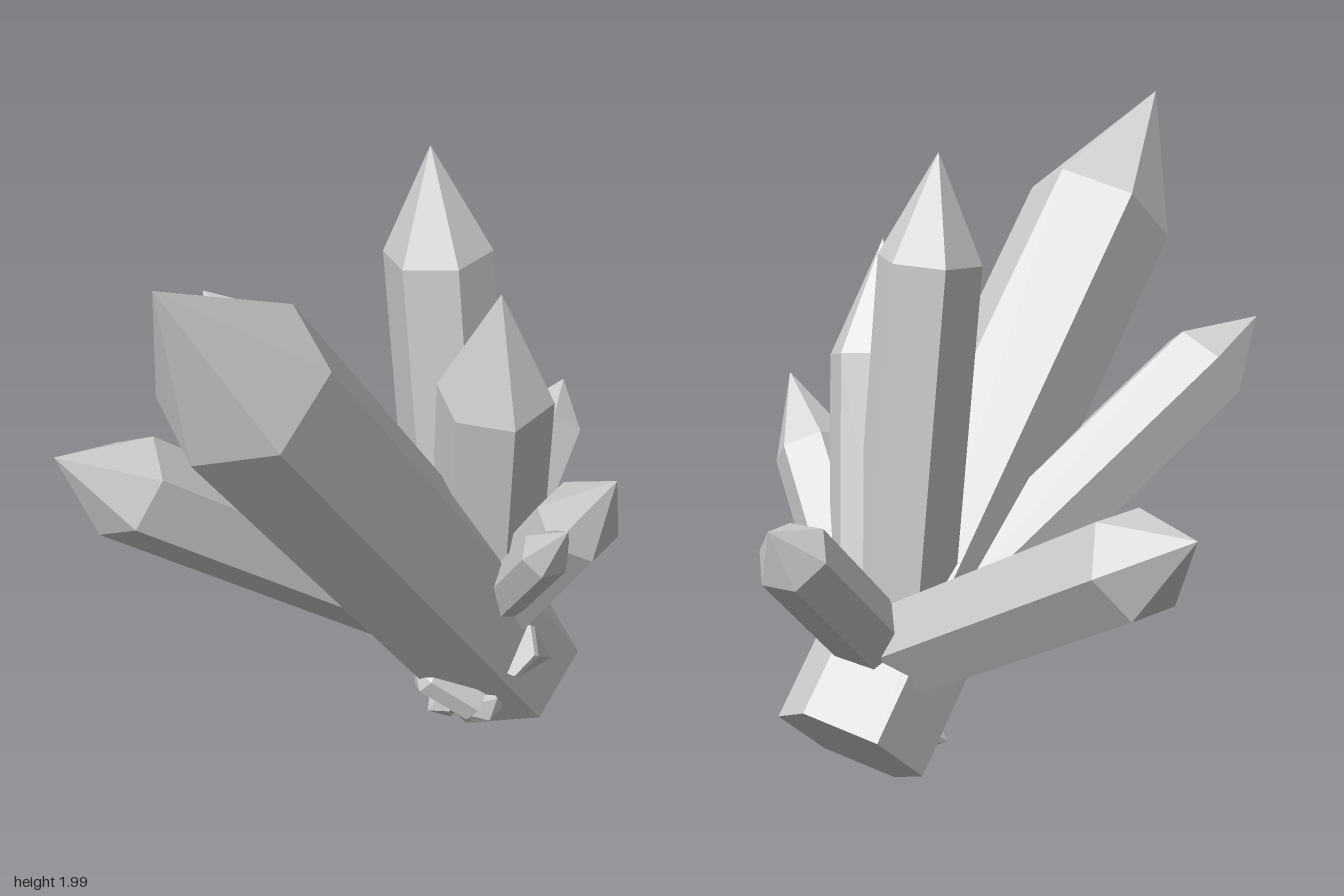
import * as THREE from 'three';

const stone = new THREE.MeshStandardMaterial({ color: 0xd0d0d0, flatShading: true });
stone.name = 'pale grey crystal';

// Six-sided prism with a pointed end, running from base to tip.
// shoulder: fraction of the length where the point begins; edge: direction of one corner.
function crystal(name, base, tip, radius, shoulder, edge) {
  const start = new THREE.Vector3(...base);
  const axis = new THREE.Vector3(...tip).sub(start);
  const length = axis.length();
  axis.normalize();
  const profile = [[0, 0], [radius, 0], [radius, length * shoulder], [0, length]]
    .map(([x, y]) => new THREE.Vector2(x, y));
  const mesh = new THREE.Mesh(new THREE.LatheGeometry(profile, 6), stone);
  const corner = new THREE.Vector3(...edge).projectOnPlane(axis).normalize();
  const side = new THREE.Vector3().crossVectors(axis, corner);
  mesh.quaternion.setFromRotationMatrix(new THREE.Matrix4().makeBasis(side, axis, corner));
  mesh.position.copy(start);
  mesh.name = name;
  return mesh;
}

export function createModel() {
  const group = new THREE.Group();
  group.name = 'crystalCluster';
  group.add(
    // Main shaft, whose lower end carries the whole cluster
    crystal('mainCrystal', [0.57, 0.16, 0.2], [-0.8, 2.0, 0.88], 0.238, 0.8, [0, -0.08, 0.225]),
    // Large side shafts
    crystal('backCrystal', [0.375, 0.44, 0.2], [0.05, 1.02, -0.965], 0.16, 0.81, [-0.155, 0.01, 0.05]),
    crystal('rightCrystal', [0.35, 0.42, 0.25], [-0.9, 1.32, 0.37], 0.15, 0.84, [-0.04, -0.05, 0.145]),
    crystal('uprightCrystal', [0.39, 0.36, 0.26], [0.275, 1.91, 0.17], 0.155, 0.8, [0.1, 0, -1]),
    crystal('frontCrystal', [0.43, 0.4, 0.29], [0.305, 1.62, 0.54], 0.165, 0.72, [-0.02, -0.05, 0.14]),
    // Smaller shafts
    crystal('lowFrontCrystal', [0.455, 0.41, 0.29], [0.5, 1.17, 0.86], 0.122, 0.72, [0.1, 0.03, -0.04]),
    crystal('thinFrontCrystal', [0.4, 0.4, 0.3], [0.365, 1.04, 0.85], 0.073, 0.78, [1, 0, 0]),
    crystal('leftCrystal', [0.45, 0.44, 0.22], [0.9, 0.93, -0.09], 0.115, 0.8, [0.08, -0.09, 0.02]),
    // Little shards around the foot
    crystal('frontShard', [0.43, 0.41, 0.47], [0.6, 0.29, 0.42], 0.09, 0.1, [0.5, 0.8, 0.2]),
    crystal('rightShard', [0.34, 0.2, 0.42], [0.17, 0.34, 0.36], 0.055, 0.8, [0, 0, 1]),
    crystal('lowShard', [0.42, 0.2, 0.3], [0.25, 0.12, 0.3], 0.055, 0.75, [0, 0, 1]),
    crystal('lowFrontShard', [0.38, 0.22, 0.3], [0.37, 0.16, 0.47], 0.06, 0.8, [1, 0, 0]),
    crystal('lowBackShard', [0.42, 0.22, 0.26], [0.28, 0.15, 0.14], 0.05, 0.75, [0, 1, 0]),
  );
  return group;
}
